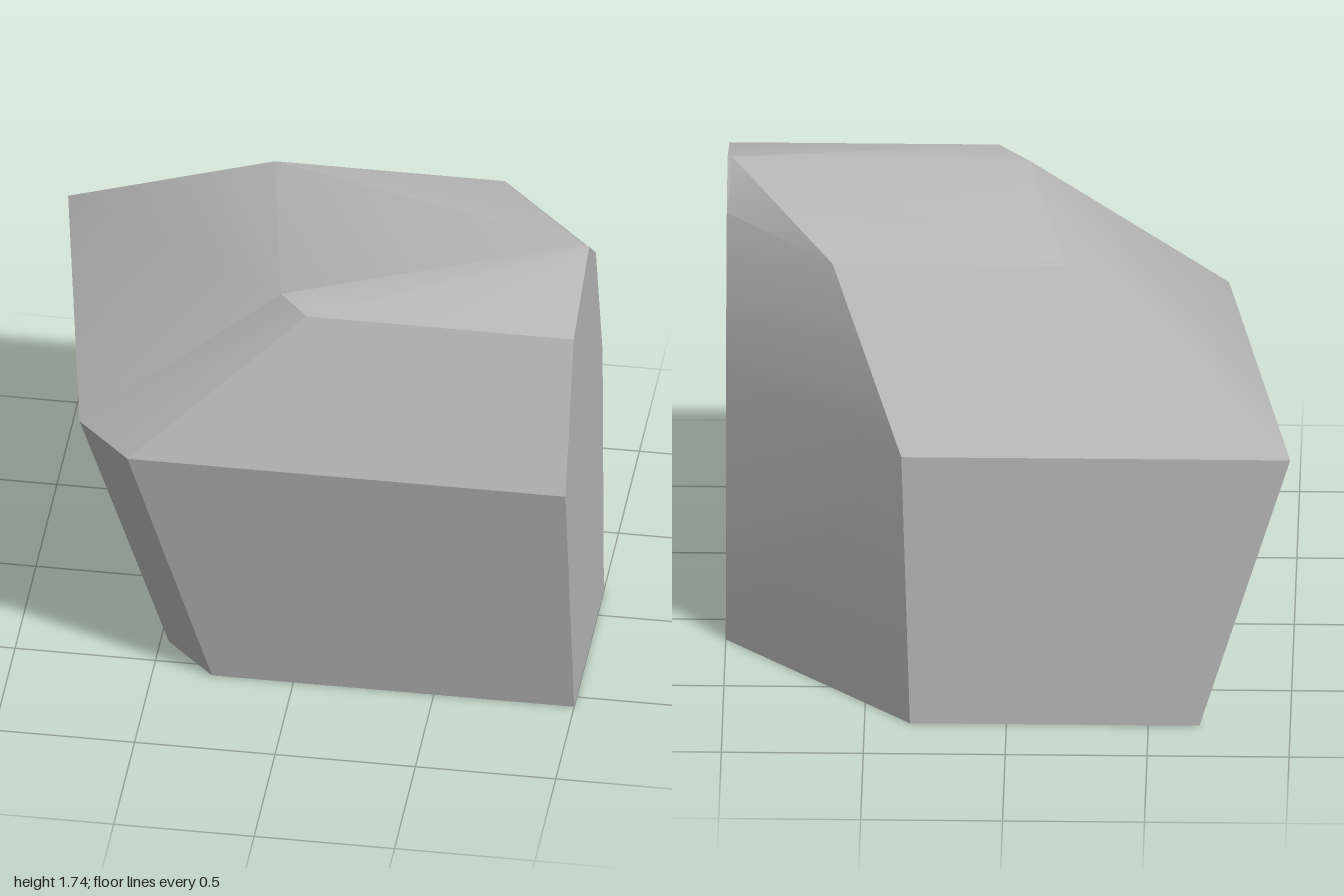
import * as THREE from 'three';
import { toCreasedNormals } from 'three/addons/utils/BufferGeometryUtils.js';

// Horizontal sections of the boulder, bottom to top: y and its [x, z] corners,
// listed back left, side, front left, front right, side, back right
const sections = [
  { y: 0, ring: [[-0.68, -0.77], [-0.47, 0.38], [-0.29, 0.56], [1, 0.56], [1, -0.15], [0.34, -0.77]] },
  { y: 1.06, ring: [[-1, -0.77], [-0.76, 0.57], [-0.56, 0.77], [1, 0.77], [1, -0.12], [0.37, -0.77]] },
  { y: 1.6, ring: [[-0.2, -0.34], [-0.06, 0.45], [0.05, 0.57], [1, 0.57], [1, 0.04], [0.62, -0.34]] },
  // the crown closes to a tiny ridge at the flat side
  { y: 1.74, ring: [[0.98, 0.19], [0.98, 0.19], [0.98, 0.19], [1, 0.2], [1, 0.2], [0.98, 0.19]] },
];

function loft(levels) {
  const positions = [];
  const rings = levels.map(({ y, ring }) => ring.map(([x, z]) => new THREE.Vector3(x, y, z)));
  const count = rings[0].length;
  const triangle = (a, b, c) => {
    if (a.equals(b) || b.equals(c) || a.equals(c)) return; // collapsed at the crown
    for (const p of [a, b, c]) positions.push(p.x, p.y, p.z);
  };

  // side facets
  for (let k = 0; k < rings.length - 1; k++) {
    for (let i = 0; i < count; i++) {
      const j = (i + 1) % count;
      triangle(rings[k][i], rings[k][j], rings[k + 1][j]);
      triangle(rings[k][i], rings[k + 1][j], rings[k + 1][i]);
    }
  }

  // underside
  for (let i = 1; i < count - 1; i++) triangle(rings[0][0], rings[0][i + 1], rings[0][i]);

  const geometry = new THREE.BufferGeometry();
  geometry.setAttribute('position', new THREE.Float32BufferAttribute(positions, 3));
  return toCreasedNormals(geometry, THREE.MathUtils.degToRad(30));
}

export function createModel() {
  const model = new THREE.Group();
  model.name = 'rock';
  const stone = new THREE.MeshStandardMaterial({ color: 0xbababa });
  stone.name = 'grey stone';

  const boulder = new THREE.Mesh(loft(sections), stone);
  boulder.name = 'boulder';
  model.add(boulder);
  return model;
}
